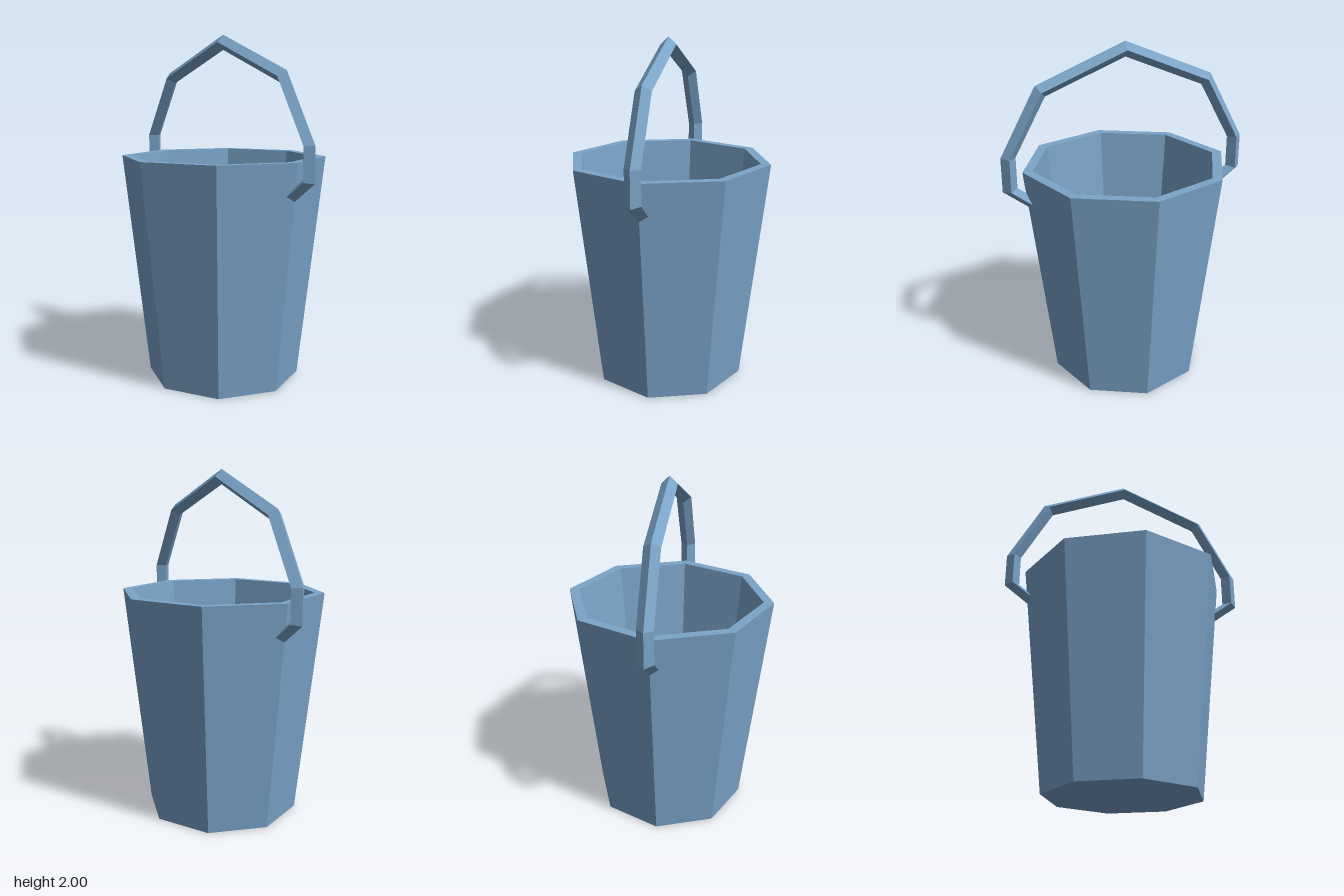
import * as THREE from 'three';

const material = new THREE.MeshStandardMaterial({ color: 0x7aa3c8, flatShading: true });

// Open eight-sided bucket: base, outer wall, flat rim, inner wall, floor
function makeBucket() {
  const profile = [[0, 0], [0.447, 0], [0.595, 1.31], [0.537, 1.31], [0.402, 0.08], [0, 0.08]]
    .map(([r, y]) => new THREE.Vector2(r, y));
  const mesh = new THREE.Mesh(new THREE.LatheGeometry(profile, 8).toNonIndexed(), material);
  mesh.geometry.computeVertexNormals();
  mesh.name = 'bucket';
  return mesh;
}

// Bail handle: mitred rod with a diamond section, both ends sunk in the wall
function makeHandle() {
  // Outer and inner edge of one half, from the wall up to the top: [xo, yo, xi, yi]
  const half = [
    [0.545, 1.08, 0.535, 1.152],
    [0.71, 1.207, 0.627, 1.222],
    [0.71, 1.405, 0.627, 1.402],
    [0.502, 1.792, 0.449, 1.73],
    [0, 2, 0, 1.915],
  ];
  const mirrored = half.slice(0, -1).reverse().map(([a, b, c, d]) => [-a, b, -c, d]);
  const path = [...half, ...mirrored];
  const depth = 0.045;
  const positions = [], index = [];
  path.forEach(([xo, yo, xi, yi], i) => {
    const mx = (xo + xi) / 2, my = (yo + yi) / 2;
    positions.push(xo, yo, 0, mx, my, depth, xi, yi, 0, mx, my, -depth);
    if (i === path.length - 1) return;
    for (let k = 0; k < 4; k++) {
      const a = i * 4 + k, b = i * 4 + (k + 1) % 4;
      index.push(a, a + 4, b, b, a + 4, b + 4);
    }
  });
  // End caps
  const e = (path.length - 1) * 4;
  index.push(0, 1, 2, 0, 2, 3, e, e + 2, e + 1, e, e + 3, e + 2);

  const indexed = new THREE.BufferGeometry();
  indexed.setAttribute('position', new THREE.Float32BufferAttribute(positions, 3));
  indexed.setIndex(index);
  const geometry = indexed.toNonIndexed();
  geometry.computeVertexNormals();
  const mesh = new THREE.Mesh(geometry, material);
  mesh.name = 'handle';
  return mesh;
}

export function createModel() {
  const group = new THREE.Group();
  group.name = 'bucketWithHandle';
  group.add(makeBucket(), makeHandle());
  return group;
}
